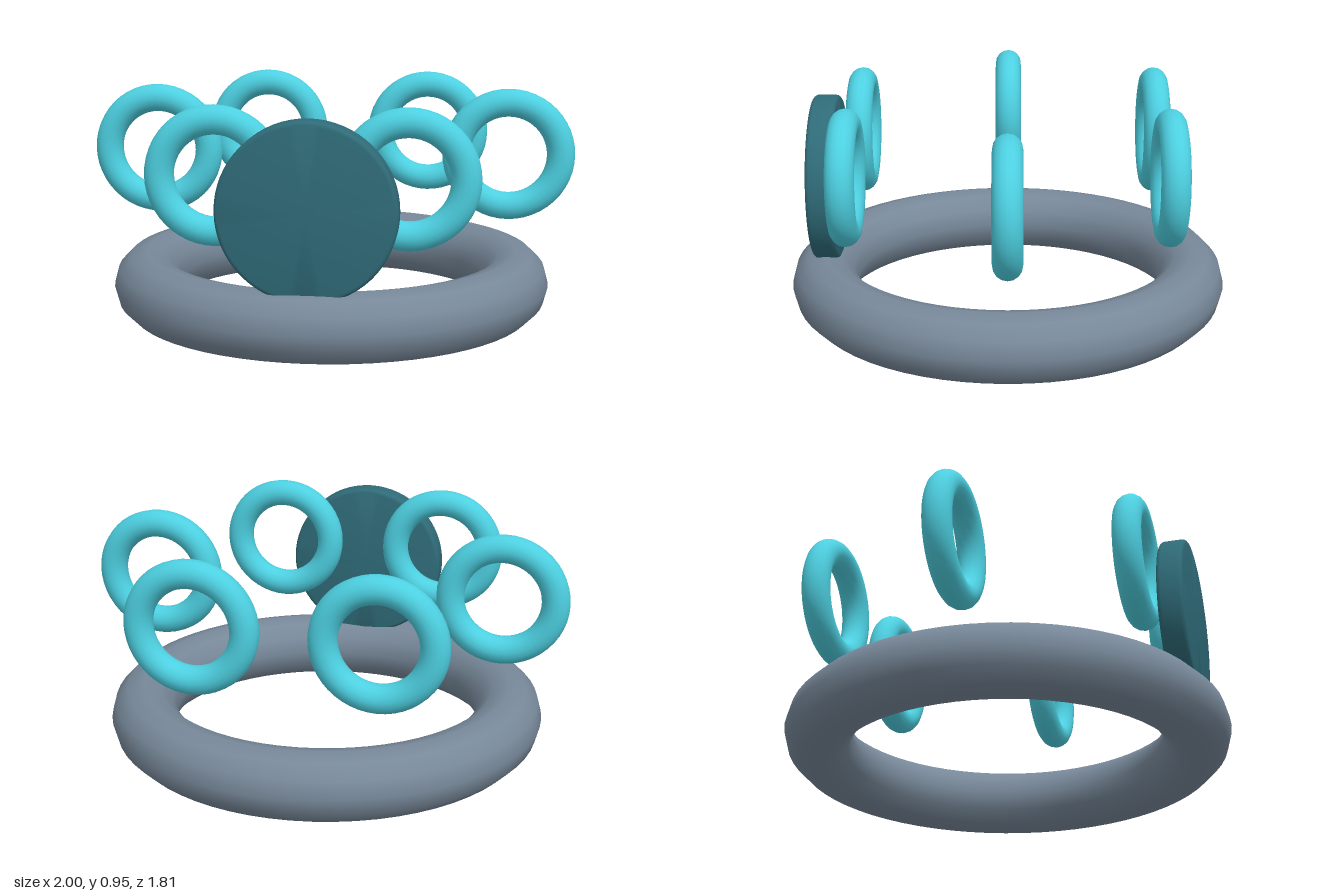
import * as THREE from 'three';
import { toCreasedNormals } from 'three/addons/utils/BufferGeometryUtils.js';

function material(color) {
  return new THREE.MeshStandardMaterial({ color });
}

export function createModel() {
  const model = new THREE.Group();
  model.name = 'ringStand';

  const add = (name, geometry, mat, x, y, z) => {
    const mesh = new THREE.Mesh(geometry, mat);
    mesh.name = name;
    mesh.position.set(x, y, z);
    model.add(mesh);
    return mesh;
  };

  // Large ring lying flat on the ground
  const base = add('baseRing', new THREE.TorusGeometry(0.767, 0.138, 12, 64), material(0x778899), 0, 0.142, 0);
  base.rotation.x = Math.PI / 2;

  // Six upright floating rings in a circle, all facing forward
  const ringGeometry = new THREE.TorusGeometry(0.213, 0.057, 16, 48);
  const ringMaterial = material(0x4dd0e1);
  for (let i = 0; i < 6; i++) {
    const a = (i * Math.PI) / 3;
    add('floatingRing' + (i + 1), ringGeometry, ringMaterial, 0.73 * Math.cos(a), 0.68, 0.73 * Math.sin(a));
  }

  // Front disc with softly rounded rims, standing in the base ring
  const R = 0.34, H = 0.053, B = 0.018;
  const profile = [new THREE.Vector2(0, -H)];
  for (const side of [-1, 1]) {
    for (let i = 0; i <= 4; i++) {
      const a = (side < 0 ? i - 4 : i) * Math.PI / 8;
      profile.push(new THREE.Vector2(R - B + B * Math.cos(a), side * (H - B) + B * Math.sin(a)));
    }
  }
  profile.push(new THREE.Vector2(0, H));
  const discGeometry = toCreasedNormals(new THREE.LatheGeometry(profile, 64), 0.6);
  const disc = add('frontDisc', discGeometry, material(0x2f6b78), 0, 0.574, 0.747);
  disc.rotation.x = Math.PI / 2;

  return model;
}
